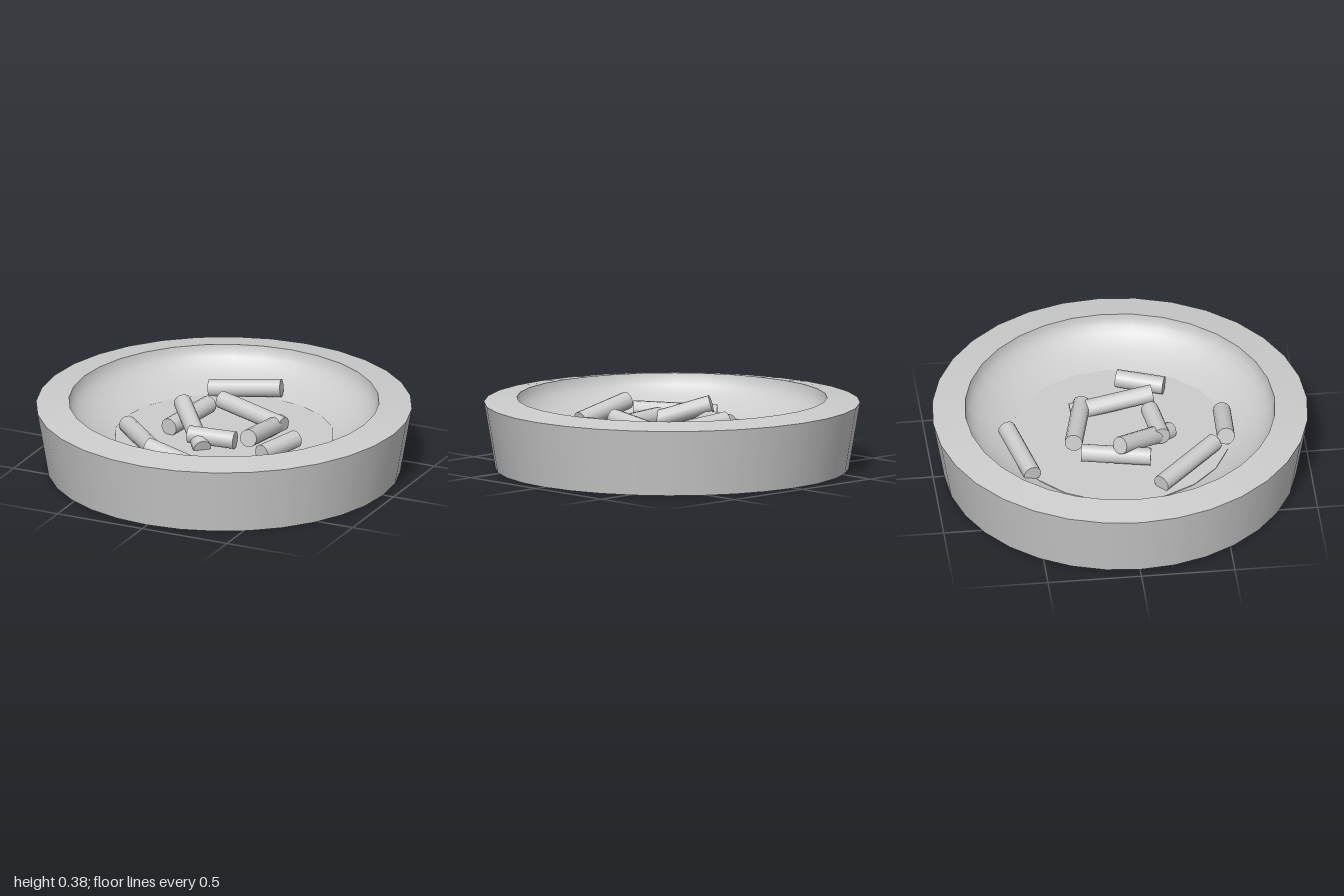
import * as THREE from 'three';

export function createModel() {
  const model = new THREE.Group();
  const grey = new THREE.MeshStandardMaterial({ color: 0xcccccc });
  grey.name = 'light grey';

  const add = (name, geometry, parent = model) => {
    const mesh = new THREE.Mesh(geometry, grey);
    mesh.name = name;
    parent.add(mesh);
    return mesh;
  };
  const lathe = (name, profile) =>
    add(name, new THREE.LatheGeometry(profile.map(p => new THREE.Vector2(...p)), 32));

  // Dish: separate lathes keep the edges between them sharp
  lathe('dishBase', [[0, 0], [0.94, 0]]);
  lathe('outerWall', [[0.94, 0], [1, 0.355]]);
  lathe('rim', [[1, 0.355], [0.825, 0.38]]);

  // Hollow: half an ellipsoid, from the rim down to the centre
  const hollow = [];
  for (let i = 0; i <= 14; i++) {
    const t = (i / 14) * Math.PI / 2;
    hollow.push([Math.max(0, 0.825 * Math.cos(t)), 0.38 - 0.275 * Math.sin(t)]);
  }
  lathe('hollow', hollow);

  // Flat filling in the bottom of the dish
  add('filling', new THREE.CylinderGeometry(0.585, 0.585, 0.03, 20)).position.y = 0.175;

  // Loose sticks, each from one end centre to the other
  const sticks = new THREE.Group();
  sticks.name = 'sticks';
  model.add(sticks);
  const ends = [
    [-0.33, 0.22, -0.505, 0.05, 0.25, -0.60],
    [-0.145, 0.27, -0.265, 0.265, 0.22, -0.175],
    [0.215, 0.205, -0.24, 0.24, 0.275, 0.20],
    [-0.20, 0.245, -0.23, -0.26, 0.232, 0.135],
    [-0.26, 0.32, -0.03, 0.0, 0.20, 0.265],
    [-0.105, 0.245, 0.21, 0.15, 0.24, 0.175],
    [0.435, 0.245, 0.03, 0.355, 0.235, 0.275],
    [-0.49, 0.22, 0.165, -0.18, 0.24, 0.485],
    [-0.19, 0.28, 0.545, 0.14, 0.205, 0.56],
  ];
  const up = new THREE.Vector3(0, 1, 0);
  for (const e of ends) {
    const a = new THREE.Vector3(...e.slice(0, 3));
    const b = new THREE.Vector3(...e.slice(3));
    const axis = b.clone().sub(a);
    const stick = add('stick', new THREE.CylinderGeometry(0.048, 0.048, axis.length(), 12), sticks);
    stick.position.copy(a).add(b).multiplyScalar(0.5);
    stick.quaternion.setFromUnitVectors(up, axis.normalize());
  }
  return model;
}
